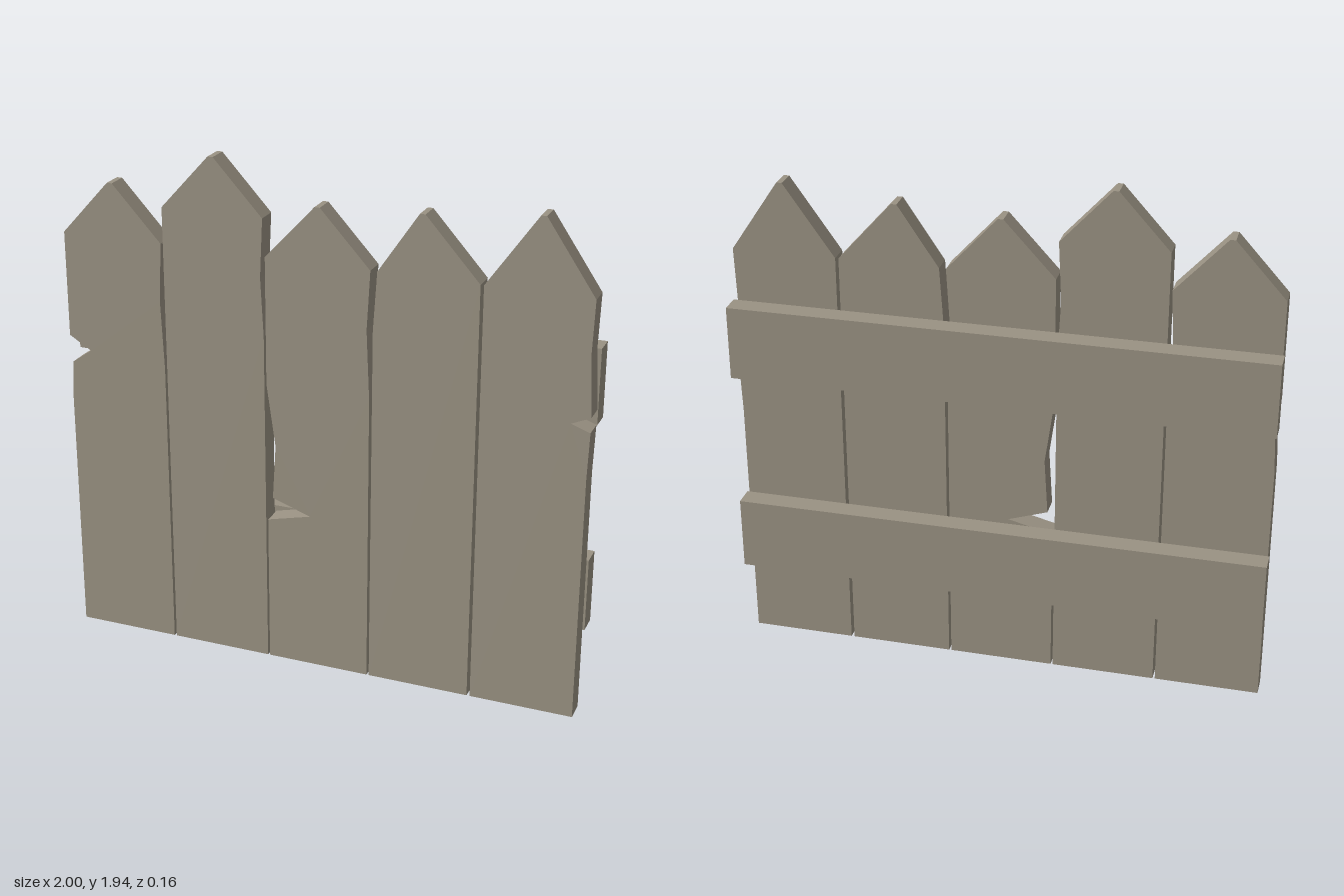
import * as THREE from 'three';

const DEPTH = 0.08;

// Plank outlines, counter-clockwise from the bottom left corner
const PLANKS = [
  // notch on the outer edge
  [[-0.995, 0], [-0.604, 0], [-0.604, 1.12], [-0.615, 1.38], [-0.604, 1.6], [-0.79, 1.803], [-0.81, 1.803],
    [-0.995, 1.6], [-0.995, 1.198], [-0.91, 1.147], [-0.987, 1.093], [-0.995, 0.95]],
  // tallest plank
  [[-0.595, 0], [-0.206, 0], [-0.206, 1.3], [-0.217, 1.52], [-0.206, 1.74], [-0.39, 1.94], [-0.41, 1.94], [-0.595, 1.737]],
  // long worn edge ending in a deep split
  [[-0.198, 0], [0.197, 0], [0.197, 1.12], [0.185, 1.38], [0.197, 1.6], [0.01, 1.803], [-0.01, 1.803],
    [-0.198, 1.6], [-0.198, 1.12], [-0.165, 0.88], [-0.178, 0.67], [-0.03, 0.62], [-0.198, 0.578]],
  [[0.206, 0], [0.592, 0], [0.592, 1.6], [0.392, 1.823], [0.372, 1.823], [0.222, 1.6], [0.208, 1.38]],
  // small crack on the outer edge
  [[0.604, 0], [0.992, 0], [0.992, 0.95], [0.997, 1.122], [0.927, 1.147], [0.997, 1.178], [0.984, 1.4],
    [0.99, 1.6], [0.81, 1.865], [0.79, 1.865], [0.604, 1.6]],
];

export function createModel() {
  const fence = new THREE.Group();
  fence.name = 'fence';
  const wood = new THREE.MeshStandardMaterial({ color: 0x9a9283 });
  wood.name = 'weathered wood';

  // Upright planks in front
  PLANKS.forEach((points, i) => {
    const shape = new THREE.Shape(points.map(([x, y]) => new THREE.Vector2(x, y)));
    const plank = new THREE.Mesh(new THREE.ExtrudeGeometry(shape, { depth: DEPTH, bevelEnabled: false }), wood);
    plank.name = `plank${i + 1}`;
    fence.add(plank);
  });

  // Two horizontal rails behind
  [['lowerRail', 0.46], ['upperRail', 1.26]].forEach(([name, y]) => {
    const rail = new THREE.Mesh(new THREE.BoxGeometry(2, 0.28, DEPTH), wood);
    rail.name = name;
    rail.position.set(0, y, -DEPTH / 2);
    fence.add(rail);
  });
  return fence;
}
